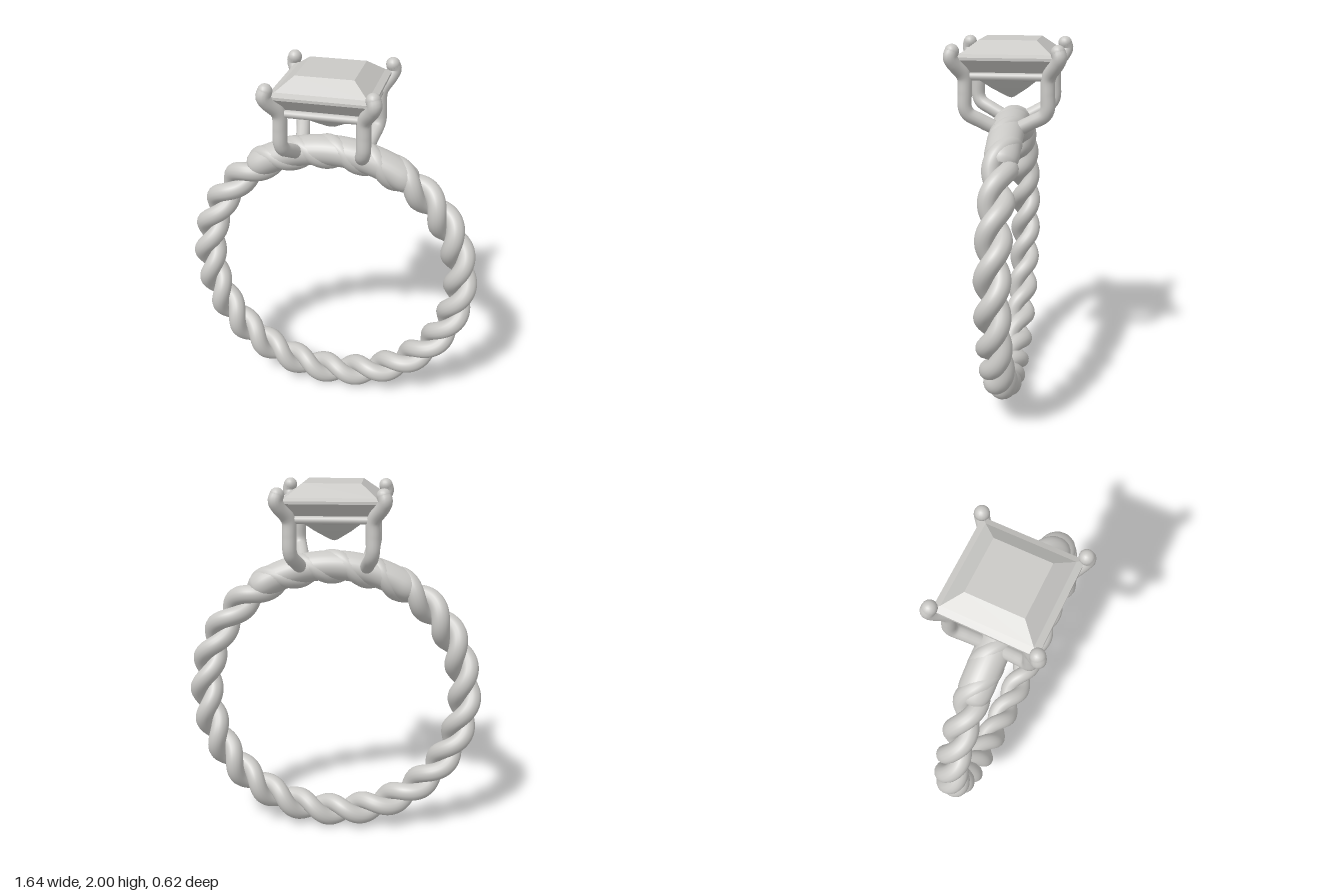
import * as THREE from 'three';
import { mergeVertices } from 'three/addons/utils/BufferGeometryUtils.js';

const CENTER_Y = 0.821, BAND_R = 0.727, MID_Z = -0.011;

// One strand of the rope: a helix wound around the band circle
class StrandCurve extends THREE.Curve {
  constructor(phase) { super(); this.phase = phase; }
  getPoint(t, target = new THREE.Vector3()) {
    const a = t * Math.PI * 2, twist = 12 * a + this.phase;
    const r = BAND_R + 0.043 * Math.cos(twist);
    return target.set(r * Math.sin(a), r * Math.cos(a), 0.043 * Math.sin(twist));
  }
}

// Smooth sleeve over the top of the band, with rounded ends
function sleeveGeometry() {
  const half = 0.64, taper = 0.12, R = 0.734;
  const geo = new THREE.TorusGeometry(R, 1, 28, 64, half * 2);
  geo.rotateZ(Math.PI / 2 - half);
  const p = geo.attributes.position;
  for (let i = 0; i <= 28; i++) for (let j = 0; j <= 64; j++) {
    const v = (i / 28) * Math.PI * 2;
    const a = -half + (j / 64) * half * 2;
    const e = Math.max(0, (Math.abs(a) - (half - taper)) / taper);
    const s = 0.6 + 0.4 * Math.sqrt(Math.max(0, 1 - e * e));
    const r = R + 0.079 * s * Math.cos(v);
    // the torus runs counter-clockwise, from right to left
    p.setXYZ(i * 65 + j, -r * Math.sin(a), r * Math.cos(a), 0.09 * s * Math.sin(v));
  }
  geo.deleteAttribute('uv');
  geo.deleteAttribute('normal');
  const merged = mergeVertices(geo);
  merged.computeVertexNormals();
  return merged;
}

export function createModel() {
  const metal = new THREE.MeshStandardMaterial({ color: 0xc9c8c5 });
  metal.name = 'silverMetal';
  const gemMat = new THREE.MeshStandardMaterial({ color: 0xc9c8c5, flatShading: true });
  gemMat.name = 'paleGem';

  const model = new THREE.Group();
  model.name = 'ring';
  model.position.z = MID_Z;
  const root = new THREE.Group();
  root.add(model);

  const add = (parent, name, geo, mat = metal) => {
    const mesh = new THREE.Mesh(geo, mat);
    mesh.name = name;
    parent.add(mesh);
    return mesh;
  };

  // Twisted band of two strands and its smooth sleeve
  const band = new THREE.Group();
  band.name = 'twistedBand';
  band.position.y = CENTER_Y;
  model.add(band);
  [0, Math.PI].forEach((phase, i) =>
    add(band, `strand${i + 1}`, new THREE.TubeGeometry(new StrandCurve(phase), 480, 0.05, 16, true)));
  add(band, 'topSleeve', sleeveGeometry());

  // Four bent prongs with rounded ends
  for (const sx of [-1, 1]) for (const sz of [-1, 1]) {
    const pts = [
      [0.175, 1.555, 0.06], [0.19, 1.595, 0.135], [0.205, 1.63, 0.195], [0.212, 1.665, 0.212],
      [0.212, 1.74, 0.212], [0.212, 1.81, 0.212], [0.222, 1.84, 0.222], [0.26, 1.895, 0.26],
      [0.272, 1.925, 0.272], [0.264, 1.953, 0.264],
    ].map(([x, y, z]) => new THREE.Vector3(x * sx, y, z * sz));
    const prong = new THREE.Group();
    prong.name = 'prong';
    model.add(prong);
    add(prong, 'prongWire', new THREE.TubeGeometry(new THREE.CatmullRomCurve3(pts, false, 'centripetal'), 60, 0.037, 14));
    for (const end of [pts[0], pts[pts.length - 1]]) {
      add(prong, 'prongEnd', new THREE.SphereGeometry(0.037, 16, 12)).position.copy(end);
    }
  }

  // Square rail joining the prongs under the stone
  for (let i = 0; i < 4; i++) {
    const side = new THREE.Group();
    side.name = 'rail';
    side.rotation.y = i * Math.PI / 2;
    model.add(side);
    const bar = add(side, 'railBar', new THREE.CylinderGeometry(0.02, 0.02, 0.424, 12));
    bar.rotation.z = Math.PI / 2;
    bar.position.set(0, 1.824, 0.212);
  }

  // Square step-cut stone: half-width and height from the tip up to the table
  const profile = [
    [0, 1.688], [0.02, 1.697], [0.095, 1.752], [0.165, 1.812], [0.2, 1.845],
    [0.262, 1.908], [0.262, 1.922], [0.23, 1.936], [0.148, 2], [0, 2],
  ].map(([w, y]) => new THREE.Vector2(w * Math.SQRT2, y));
  add(model, 'squareStone', new THREE.LatheGeometry(profile, 4, Math.PI / 4), gemMat);

  return root;
}
